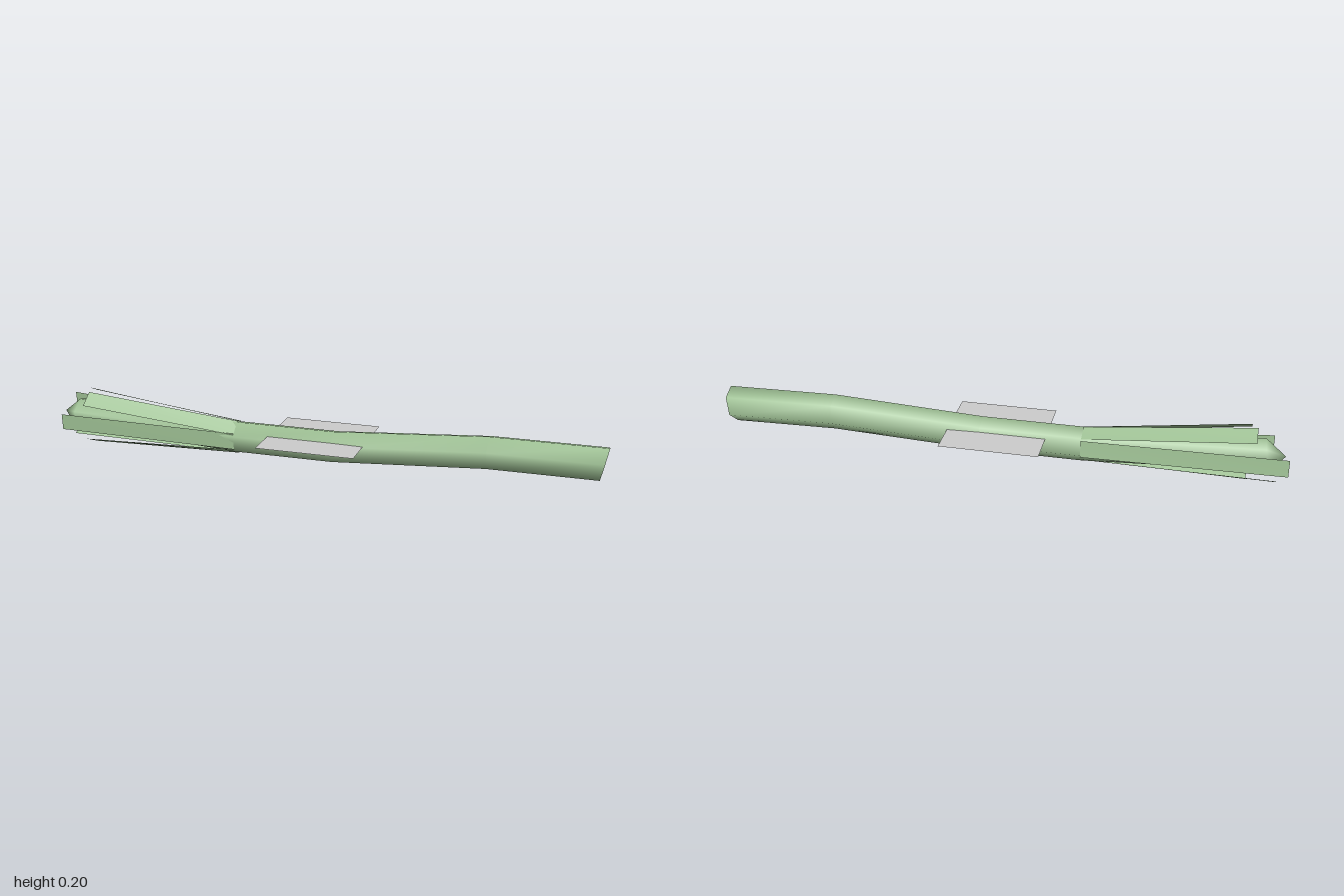
import * as THREE from 'three';

export function createModel() {
  const group = new THREE.Group();
  group.name = 'flowerStem';
  const green = new THREE.MeshStandardMaterial({ color: 0x9dbf93, side: THREE.DoubleSide });
  green.name = 'stem green';
  const grey = new THREE.MeshStandardMaterial({ color: 0xcccccc, side: THREE.DoubleSide });
  grey.name = 'plate grey';

  const add = (name, geometry, material) => {
    const mesh = new THREE.Mesh(geometry, material);
    mesh.name = name;
    group.add(mesh);
    return mesh;
  };
  const build = (points, index) => {
    const g = new THREE.BufferGeometry();
    g.setAttribute('position', new THREE.Float32BufferAttribute(points, 3));
    g.setIndex(index);
    g.computeVertexNormals();
    return g;
  };

  // Six-sided stem with a pointed bud: x, centre y, centre z, radius, lean of the ring
  const rings = [
    [-0.93, 0.11, 0, 0.056, 0.01],
    [-0.3, 0.077, 0.002, 0.061, 0],
    [0.06, 0.077, 0.002, 0.061, 0],
    [0.6, 0.109, -0.011, 0.063, 0],
    [0.985, 0.106, -0.021, 0.063, 0.014],
  ];
  const sides = 6;
  const points = [], index = [];
  for (const [x, cy, cz, r, lean] of rings) {
    for (let i = 0; i < sides; i++) {
      const a = (i / sides) * Math.PI * 2 + 0.24;
      points.push(x + lean * Math.cos(a), cy + r * Math.cos(a), cz + r * Math.sin(a));
    }
  }
  const tip = rings.length * sides, end = tip + 1, last = tip - sides;
  points.push(-0.99, 0.11, 0, 0.985, 0.106, -0.021);
  for (let i = 0; i < sides; i++) {
    const j = (i + 1) % sides;
    for (let k = 0; k < rings.length - 1; k++) {
      const a = k * sides + i, b = k * sides + j;
      index.push(a, b, a + sides, b, b + sides, a + sides);
    }
    index.push(tip, j, i, end, last + i, last + j);
  }
  add('stem', build(points, index), green);

  // Flat flaring sepals: end x, then z and y of both outer corners (clockwise from +x)
  const sepals = [
    [-0.87, 0.09, 0.165, 0.037, 0.202],
    [-0.89, 0, 0.208, -0.062, 0.18],
    [-1, -0.1, 0.15, -0.105, 0.09],
    [-0.965, -0.07, 0.05, -0.015, 0.016],
    [-0.865, 0.007, 0.003, 0.087, 0.038],
    [-0.95, 0.103, 0.072, 0.107, 0.13],
  ];
  sepals.forEach(([x, z1, y1, z2, y2], i) => {
    // The base sits on the stem, square to the sepal's outward direction
    const dir = new THREE.Vector2((z1 + z2) / 2, (y1 + y2) / 2 - 0.105).normalize();
    const bz = dir.x * 0.055, by = 0.077 + dir.y * 0.055, h = 0.03;
    const p = [
      -0.3, by + dir.x * -h, bz + dir.y * h,
      -0.3, by + dir.x * h, bz - dir.y * h,
      x, y2, z2,
      x, y1, z1,
    ];
    add('sepal' + (i + 1), build(p, [0, 1, 2, 0, 2, 3]), green);
  });

  // Level square plate through the middle of the stem
  const plate = add('plate', new THREE.PlaneGeometry(0.35, 0.35).rotateX(-Math.PI / 2), grey);
  plate.position.y = 0.105;

  return group;
}
